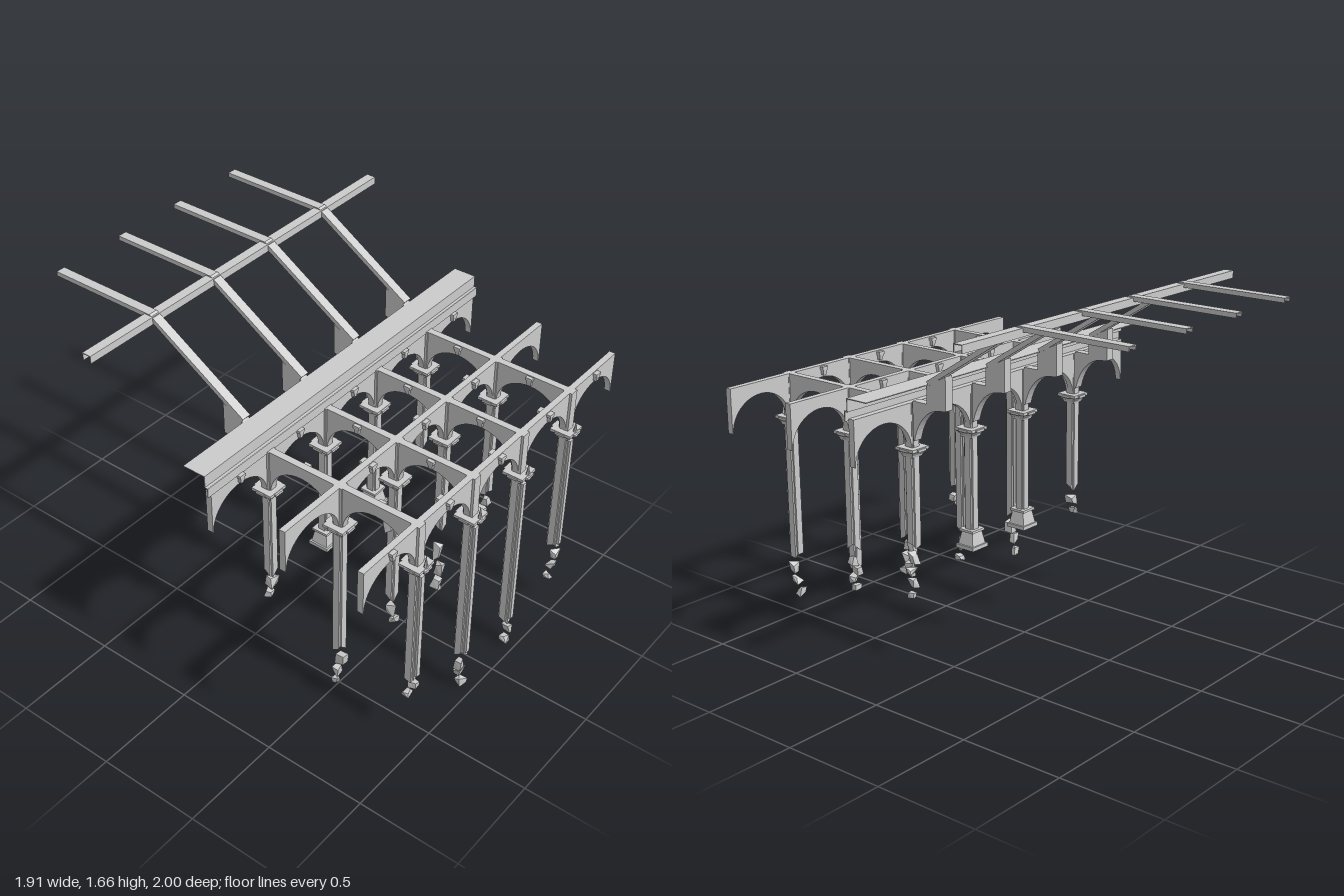
import * as THREE from 'three';
import { ConvexGeometry } from 'three/addons/geometries/ConvexGeometry.js';

const mat = new THREE.MeshStandardMaterial({ color: 0xcccccc, flatShading: true, side: THREE.DoubleSide });
const XS = [-0.57, -0.184, 0.182, 0.568];
const ZS = [0.937, 0.55, 0.166];
const SPRING = 1.03, CROWN = 1.183, TOP = 1.24;

let seed = 7;
const rnd = () => (seed = (seed * 16807) % 2147483647) / 2147483647;

function add(parent, name, geo, x = 0, y = 0, z = 0) {
  const m = new THREE.Mesh(geo, mat);
  m.name = name;
  m.position.set(x, y, z);
  parent.add(m);
  return m;
}
const box = (parent, name, w, h, d, x, y, z) => add(parent, name, new THREE.BoxGeometry(w, h, d), x, y, z);

// square frustum with half-widths given at bottom and top
function frustum(bottom, top, h) {
  return new THREE.CylinderGeometry(top * Math.SQRT2, bottom * Math.SQRT2, h, 4).rotateY(Math.PI / 4);
}

// wall pierced from below by arches; openings = [[start, end], ...] from left to right
function arcadeGeo(from, to, openings, thick) {
  const s = new THREE.Shape();
  s.moveTo(from, TOP);
  s.lineTo(from, SPRING);
  for (const [a, b] of openings) {
    s.lineTo(a, SPRING);
    s.absellipse((a + b) / 2, SPRING, (b - a) / 2, CROWN - SPRING, Math.PI, 0, true);
  }
  s.lineTo(to, SPRING);
  s.lineTo(to, TOP);
  s.closePath();
  return new THREE.ExtrudeGeometry(s, { depth: thick, bevelEnabled: false, curveSegments: 20 }).translate(0, 0, -thick / 2);
}

// cross-shaped shaft from y0 to y1, ragged at the bottom when broken
function shaftGeo(y0, y1, ragged) {
  const a = 0.026, b = 0.017;
  const pts = [[b, -a], [b, -b], [a, -b], [a, b], [b, b], [b, a], [-b, a], [-b, b], [-a, b], [-a, -b], [-b, -b], [-b, -a]];
  const s = new THREE.Shape(pts.map(p => new THREE.Vector2(...p)));
  const g = new THREE.ExtrudeGeometry(s, { depth: y1 - y0, bevelEnabled: false }).rotateX(-Math.PI / 2);
  const p = g.attributes.position, phase = rnd() * 6;
  for (let i = 0; i < p.count; i++) {
    if (p.getY(i) < 0.001) p.setY(i, ragged * (1 + Math.sin(phase + p.getX(i) * 75 + p.getZ(i) * 50)));
  }
  g.translate(0, y0, 0);
  return g;
}

// angular chunk of a broken shaft
function shardGeo(w, h) {
  const pts = [];
  for (let i = 0; i < 8; i++) {
    const sx = i & 1 ? 1 : -1, sy = i & 2 ? 1 : -1, sz = i & 4 ? 1 : -1;
    pts.push(new THREE.Vector3(sx * w * (0.25 + 0.75 * rnd()), sy * h * (0.3 + 0.7 * rnd()), sz * w * (0.25 + 0.75 * rnd())));
  }
  return new ConvexGeometry(pts);
}

// folded sheet channel along z, open underneath; top surface at y = 0
function channel(parent, name, w, h, len) {
  const g = new THREE.Group(), t = 0.004;
  g.name = name;
  box(g, 'channelTop', w, t, len, 0, -t / 2, 0);
  for (const s of [-1, 1]) box(g, 'channelSide', t, h, len, s * (w - t) / 2, -h / 2, 0);
  parent.add(g);
  return g;
}

// keystone block with a small sill, projecting along +z
function keystone(parent, x, z, turn) {
  const g = new THREE.Group();
  g.name = 'keystone';
  box(g, 'keystoneHead', 0.034, 0.014, 0.024, 0, 1.228, 0.01);
  add(g, 'keystoneBody', frustum(0.009, 0.013, 0.028), 0, 1.207, 0.008);
  g.position.set(x, 0, z);
  g.rotation.y = turn;
  parent.add(g);
}

// per row and column: [solid end, loose pieces as [y, half height, x shift]]
const BREAKS = [
  [[0.37, [[0.33, 0.025, 0.015], [0.3, 0.015, -0.015]]],
   [0.21, [[0.165, 0.03, -0.012], [0.105, 0.03, 0], [0.035, 0.028, 0.01]]],
   [0.14, [[0.1, 0.03, 0.012], [0.05, 0.02, -0.014]]],
   [0.33, [[0.28, 0.035, 0.012], [0.22, 0.025, 0.01], [0.155, 0.026, -0.012]]]],
  [[0.31, [[0.255, 0.035, 0.008], [0.19, 0.03, -0.01], [0.12, 0.022, -0.012]]],
   [0.33, [[0.77, 0.04, -0.025], [0.27, 0.035, 0], [0.2, 0.02, 0.01]]],
   [0.5, [[0.37, 0.075, -0.004], [0.25, 0.04, 0.006], [0.17, 0.03, -0.01], [0.12, 0.018, 0.012]]],
   [0.46, [[0.41, 0.035, 0.006], [0.36, 0.025, -0.012]]]],
  [[0.54, [[0.49, 0.035, 0.01], [0.43, 0.022, -0.012]]],
   [0.54, []], [0.54, []],
   [0.56, [[0.51, 0.035, -0.008], [0.455, 0.02, 0.012]]]],
];

function column(parent, x, z, row, col) {
  const g = new THREE.Group();
  g.name = 'column';
  g.position.set(x, 0, z);
  parent.add(g);
  const based = row === 2 && (col === 1 || col === 2);
  const [end, pieces] = BREAKS[row][col];
  add(g, 'shaft', shaftGeo(end, 1.0, based ? 0 : 0.018));
  pieces.forEach(([y, h, dx]) => add(g, 'brokenPiece', shardGeo(0.026, h), dx, y, (rnd() - 0.5) * 0.02));
  // capital and the pier above it
  add(g, 'capitalNeck', frustum(0.03, 0.034, 0.012), 0, 0.998, 0);
  add(g, 'capitalFlare', frustum(0.032, 0.05, 0.022), 0, 1.013, 0);
  box(g, 'capitalSlab', 0.104, 0.014, 0.104, 0, 1.03, 0);
  box(g, 'capitalCrossX', 0.115, 0.012, 0.05, 0, 1.028, 0);
  box(g, 'capitalCrossZ', 0.05, 0.012, 0.122, 0, 1.028, 0);
  box(g, 'pier', 0.044, TOP - 1.035, 0.044, 0, (TOP + 1.035) / 2, 0);
  if (row === 0) {
    // front pilaster strip and pointed finial
    box(g, 'pilaster', 0.024, 0.98 - end - 0.04, 0.014, 0, (1.02 + end) / 2, 0.03);
    add(g, 'finialKnob', new THREE.SphereGeometry(0.016, 8, 6), 0, 1.02, 0.046);
    add(g, 'finial', new THREE.ConeGeometry(0.012, 0.075, 8), 0, 1.06, 0.046);
  }
  if (based) {
    box(g, 'basePlinth', 0.104, 0.018, 0.104, 0, 0.465, 0);
    add(g, 'baseTaper', frustum(0.044, 0.032, 0.065), 0, 0.506, 0);
    box(g, 'baseRim', 0.084, 0.012, 0.084, 0, 0.543, 0);
  }
}

export function createModel() {
  const model = new THREE.Group();
  model.name = 'ruinedArcade';

  // cross arcades, one per row
  const ends = [-0.957, ...XS, 0.955];
  const spans = ends.slice(0, -1).map((a, i) => [a + 0.023, ends[i + 1] - 0.023]);
  ZS.forEach((z, row) => {
    add(model, 'crossArcade', arcadeGeo(-0.938, 0.936, spans, 0.03), 0, 0, z - 0.005);
    spans.forEach(([a, b], i) => {
      const inner = i > 0 && i < 4, mid = (a + b) / 2;
      if (inner || row !== 1) keystone(model, mid, z + 0.008, 0);
      if (inner && row < 2) keystone(model, mid, z - 0.018, Math.PI);
    });
    XS.forEach((x, col) => column(model, x, z, row, col));
  });

  XS.forEach((x, col) => {
    // arcades running front to back
    const geo = arcadeGeo(0.14, 0.955, [[0.192, 0.524], [0.576, 0.911]], 0.034).rotateY(-Math.PI / 2);
    add(model, 'longArcade', geo, x);
    const side = col === 0 ? 1 : -1;
    for (const z of [0.358, 0.743]) keystone(model, x + side * 0.012, z, side * Math.PI / 2);

    // curved bracket carrying the rafter
    const s = new THREE.Shape();
    s.moveTo(0.137, 1.07);
    s.lineTo(0.137, 1.25);
    s.lineTo(0.055, 1.25);
    s.lineTo(0.055, 1.33);
    s.lineTo(-0.055, 1.388);
    s.lineTo(-0.055, 1.235);
    s.lineTo(-0.035, 1.232);
    s.bezierCurveTo(0.04, 1.232, 0.105, 1.18, 0.13, 1.07);
    const b = new THREE.ExtrudeGeometry(s, { depth: 0.044, bevelEnabled: false, curveSegments: 12 });
    add(model, 'bracket', b.translate(0, 0, -0.022).rotateY(-Math.PI / 2), x);

    // sloping and level rafters
    const slope = channel(model, 'slopingRafter', 0.046, 0.022, 0.595);
    slope.position.set(x, 1.508, -0.198);
    slope.rotation.x = Math.atan2(0.316, 0.505);
    channel(model, 'levelRafter', 0.046, 0.022, 0.55).position.set(x, 1.665, -0.725);
  });

  // ridge purlin
  const purlin = channel(model, 'purlin', 0.046, 0.036, 1.915);
  purlin.position.set(-0.002, 1.659, -0.455);
  purlin.rotation.y = Math.PI / 2;

  // stepped sheet cornice, open at the back and below
  box(model, 'corniceTop', 1.915, 0.004, 0.113, -0.002, 1.333, 0.108);
  box(model, 'corniceFace', 1.915, 0.058, 0.004, -0.002, 1.306, 0.163);
  box(model, 'corniceLedge', 1.915, 0.004, 0.018, -0.002, 1.277, 0.17);
  box(model, 'corniceFascia', 1.915, 0.046, 0.004, -0.002, 1.255, 0.178);
  return model;
}
